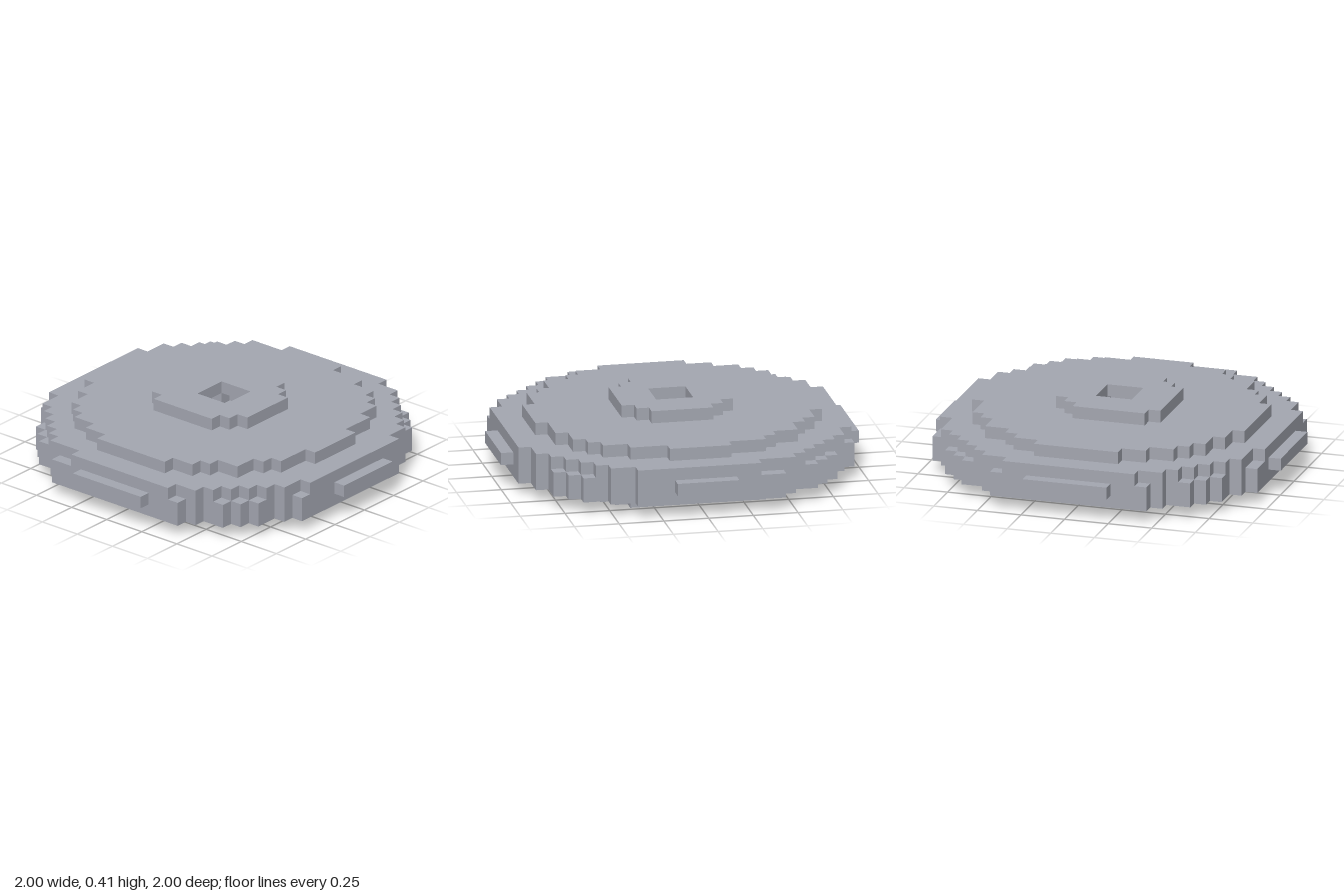
import * as THREE from 'three';
import { mergeGeometries } from 'three/addons/utils/BufferGeometryUtils.js';

const CELL = 2 / 29; // the disc is 29 cells wide

// Each tier is a stepped circle: squared radius in cells, widest cell,
// squared radius of the centre hole, and rim cells left out.
const RIM_GAPS = ['14,3', '3,-14', '-3,-14', '13,-6', '6,-13'];
const TIERS = [
  { name: 'baseTier', r2: 125, max: 10, hole: 5, gaps: [] },
  { name: 'lowerTier', r2: 205, max: 13, hole: 2, gaps: RIM_GAPS },
  { name: 'rimTier', r2: 205, max: 14, hole: 2, gaps: RIM_GAPS },
  { name: 'upperTier', r2: 194, max: 13, hole: 2, gaps: ['-5,-13', '-5,13'] },
  { name: 'deckTier', r2: 130, max: 11, hole: 5,
    gaps: ['3,-11', '-3,-11', '11,3', '11,-3', '9,7', '7,9', '-7,-9', '-9,-7'] },
  { name: 'hubTier', r2: 25, max: 4, hole: 2, gaps: ['4,3', '4,-3', '-4,-3', '3,4', '3,-4', '-3,-4'] },
];

function filled(x, y, z) {
  const t = TIERS[y];
  if (!t || Math.max(Math.abs(x), Math.abs(z)) > t.max) return false;
  const d = x * x + z * z;
  return d > t.hole && d <= t.r2 && !t.gaps.includes(`${x},${z}`);
}

// One outward square for each of the six cell sides
const SIDES = [
  [1, 0, 0], [-1, 0, 0], [0, 1, 0], [0, -1, 0], [0, 0, 1], [0, 0, -1],
].map((dir) => {
  const face = new THREE.PlaneGeometry(CELL, CELL);
  const turn = new THREE.Quaternion().setFromUnitVectors(
    new THREE.Vector3(0, 0, 1), new THREE.Vector3(...dir));
  face.applyQuaternion(turn);
  face.translate(dir[0] * CELL / 2, dir[1] * CELL / 2, dir[2] * CELL / 2);
  return { dir, face };
});

// Collect only the exposed cell sides of a tier
function tierGeometry(y) {
  const faces = [];
  const m = TIERS[y].max;
  for (let x = -m; x <= m; x++) {
    for (let z = -m; z <= m; z++) {
      if (!filled(x, y, z)) continue;
      for (const { dir, face } of SIDES) {
        if (filled(x + dir[0], y + dir[1], z + dir[2])) continue;
        faces.push(face.clone().translate(x * CELL, (y + 0.5) * CELL, z * CELL));
      }
    }
  }
  return mergeGeometries(faces);
}

export function createModel() {
  const grey = new THREE.MeshStandardMaterial({ color: 0xa3a6b0 });
  grey.name = 'stone grey';
  const group = new THREE.Group();
  group.name = 'steppedDisc';
  TIERS.forEach((tier, y) => {
    const mesh = new THREE.Mesh(tierGeometry(y), grey);
    mesh.name = tier.name;
    group.add(mesh);
  });
  return group;
}
